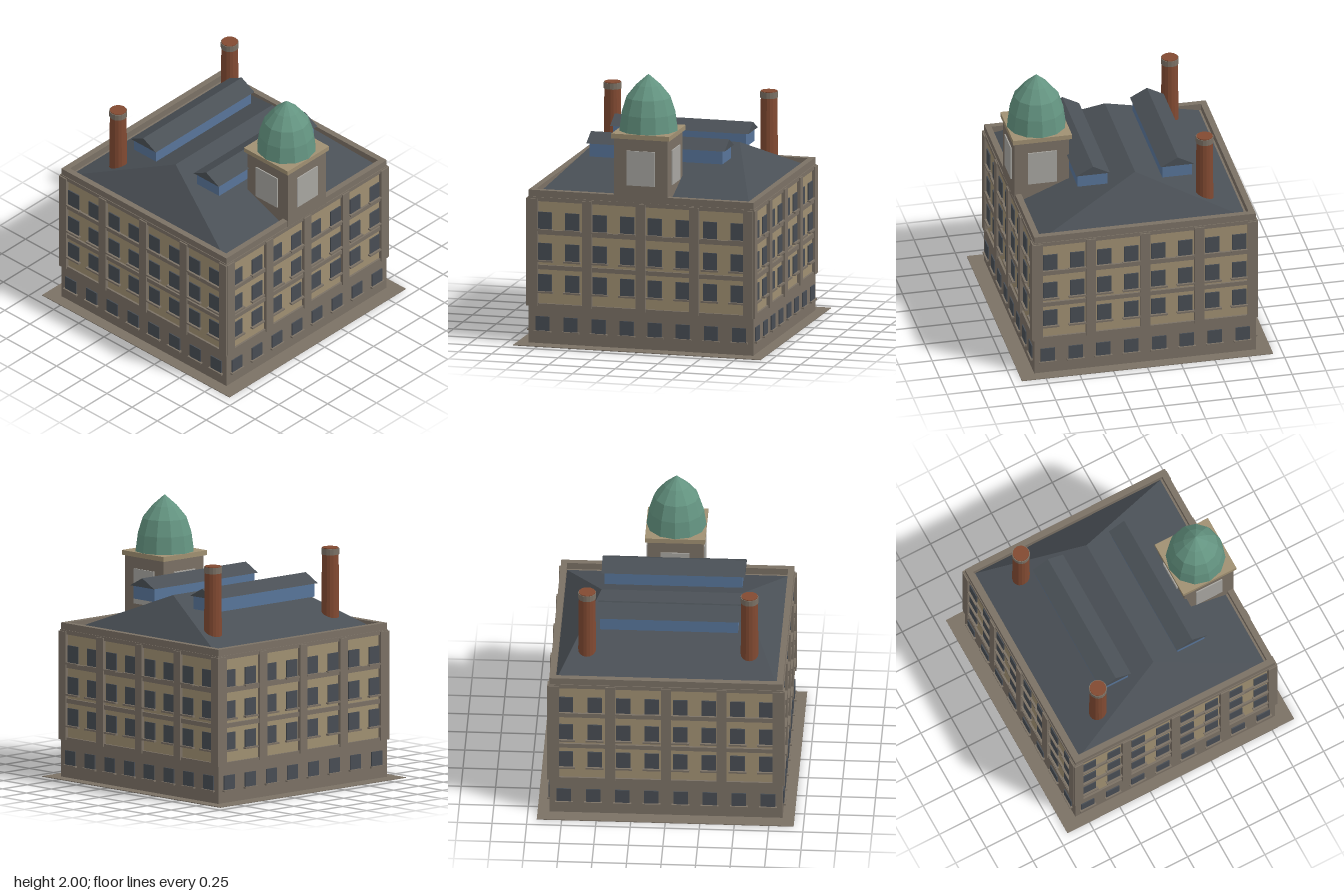
import * as THREE from 'three';

const mat = (name, color) => Object.assign(new THREE.MeshStandardMaterial({ color }), { name });

// Roof with four slopes; when ridge equals hx the ends become vertical gables
function hipGeometry(hx, hz, ridge, h) {
  const a = [-hx, 0, hz], b = [hx, 0, hz], c = [hx, 0, -hz], d = [-hx, 0, -hz];
  const l = [-ridge, h, 0], r = [ridge, h, 0];
  const tris = [a, b, r, a, r, l, c, d, l, c, l, r, b, c, r, d, a, l, a, d, c, a, c, b];
  const g = new THREE.BufferGeometry();
  g.setAttribute('position', new THREE.Float32BufferAttribute(tris.flat(), 3));
  g.computeVertexNormals();
  return g;
}

function faceted(geometry) {
  const g = geometry.toNonIndexed();
  g.computeVertexNormals();
  return g;
}

export function createModel() {
  const root = new THREE.Group();
  root.name = 'building';
  const stone = mat('stone', 0x7b7165);
  const tan = mat('sandstone', 0xa09072);
  const glass = mat('windowGlass', 0x484d54);
  const slate = mat('slate', 0x4a5056);
  const blue = mat('skylightGlass', 0x58759a);
  const copper = mat('copper', 0x649481);
  const brick = mat('brick', 0x824a32);
  const pale = mat('palePanel', 0xa8a6a1);

  const add = (parent, name, geometry, material, x = 0, y = 0, z = 0) => {
    const m = new THREE.Mesh(geometry, material);
    m.name = name;
    m.position.set(x, y, z);
    parent.add(m);
    return m;
  };
  // Box given by its bottom and top heights
  const slab = (parent, name, material, w, y0, y1, d, x = 0, z = 0) =>
    add(parent, name, new THREE.BoxGeometry(w, y1 - y0, d), material, x, (y0 + y1) / 2, z);

  // Main masses and horizontal bands
  slab(root, 'pavement', stone, 1.86, 0, 0.005, 1.86);
  slab(root, 'basement', stone, 1.69, 0.005, 0.28, 1.64);
  slab(root, 'upperWalls', tan, 1.67, 0.28, 1.06, 1.62);
  for (const [y0, y1] of [[0.28, 0.3], [0.552, 0.585], [0.81, 0.843], [1.055, 1.085]])
    slab(root, 'band', stone, 1.7, y0, y1, 1.65);

  // Parapet
  for (const s of [-1, 1]) {
    slab(root, 'parapet', stone, 1.69, 1.08, 1.135, 0.045, 0, s * 0.7975);
    slab(root, 'parapet', stone, 0.045, 1.08, 1.135, 1.55, s * 0.8225, 0);
  }

  // Four facades, each built facing +z and turned into place
  function facade(name, angle, dist, bay, corner, upperStep, baseStep) {
    const f = new THREE.Group();
    f.name = name;
    f.rotation.y = angle;
    root.add(f);
    for (const x of [-corner, -bay, 0, bay, corner])
      slab(f, 'pilaster', stone, 0.072, 0.28, 1.075, 0.045, x, dist - 0.0075);
    for (let i = 0; i < 8; i++) {
      const k = i - 3.5;
      slab(f, 'basementWindow', glass, 0.105, 0.1, 0.205, 0.008, k * baseStep, dist + 0.004);
      slab(f, 'basementSill', stone, 0.13, 0.088, 0.1, 0.02, k * baseStep, dist + 0.01);
      for (const y of [0.39, 0.62, 0.85]) {
        slab(f, 'window', glass, 0.105, y, y + 0.125, 0.009, k * upperStep, dist - 0.006);
        slab(f, 'sill', stone, 0.13, y - 0.013, y, 0.027, k * upperStep, dist + 0.001);
      }
    }
  }
  facade('frontFacade', 0, 0.82, 0.403, 0.809, 0.207, 0.211);
  facade('backFacade', Math.PI, 0.82, 0.403, 0.809, 0.207, 0.211);
  facade('leftFacade', Math.PI / 2, 0.845, 0.402, 0.795, 0.2, 0.206);
  facade('rightFacade', -Math.PI / 2, 0.845, 0.402, 0.795, 0.2, 0.206);

  // Hipped roof with two long raised skylights
  add(root, 'hipRoof', hipGeometry(0.8, 0.76, 0.51, 0.312), slate, 0, 1.085, 0);
  for (const s of [-1, 1]) {
    slab(root, 'skylight', blue, 1.0, 1.318, 1.416, 0.22, 0, s * 0.313);
    add(root, 'skylightRoof', hipGeometry(0.52, 0.125, 0.52, 0.066), slate, 0, 1.416, s * 0.313);
  }

  // Chimneys
  for (const s of [-1, 1]) {
    add(root, 'chimney', faceted(new THREE.CylinderGeometry(0.06, 0.066, 0.64, 16)), brick, s * 0.588, 1.36, -0.497);
    add(root, 'chimneyBand', faceted(new THREE.CylinderGeometry(0.065, 0.065, 0.045, 16)), stone, s * 0.588, 1.652, -0.497);
  }

  // Tower with a pale panel on each side, cornice and dome
  const tower = new THREE.Group();
  tower.name = 'tower';
  tower.position.z = 0.62;
  root.add(tower);
  slab(tower, 'towerShaft', stone, 0.402, 1.08, 1.555, 0.402, 0, 0.0025);
  for (let i = 0; i < 4; i++) {
    const side = new THREE.Group();
    side.name = 'towerSide';
    side.rotation.y = i * Math.PI / 2;
    tower.add(side);
    slab(side, 'towerPanel', pale, 0.212, 1.212, 1.468, 0.009, 0, 0.2075);
  }
  slab(tower, 'towerCornice', tan, 0.436, 1.555, 1.59, 0.436);
  const profile = [[0.217, 1.59], [0.2, 1.715], [0.163, 1.83], [0.09, 1.92], [0, 2]]
    .map(([r, y]) => new THREE.Vector2(r, y));
  add(tower, 'dome', faceted(new THREE.LatheGeometry(profile, 12)), copper);

  return root;
}
